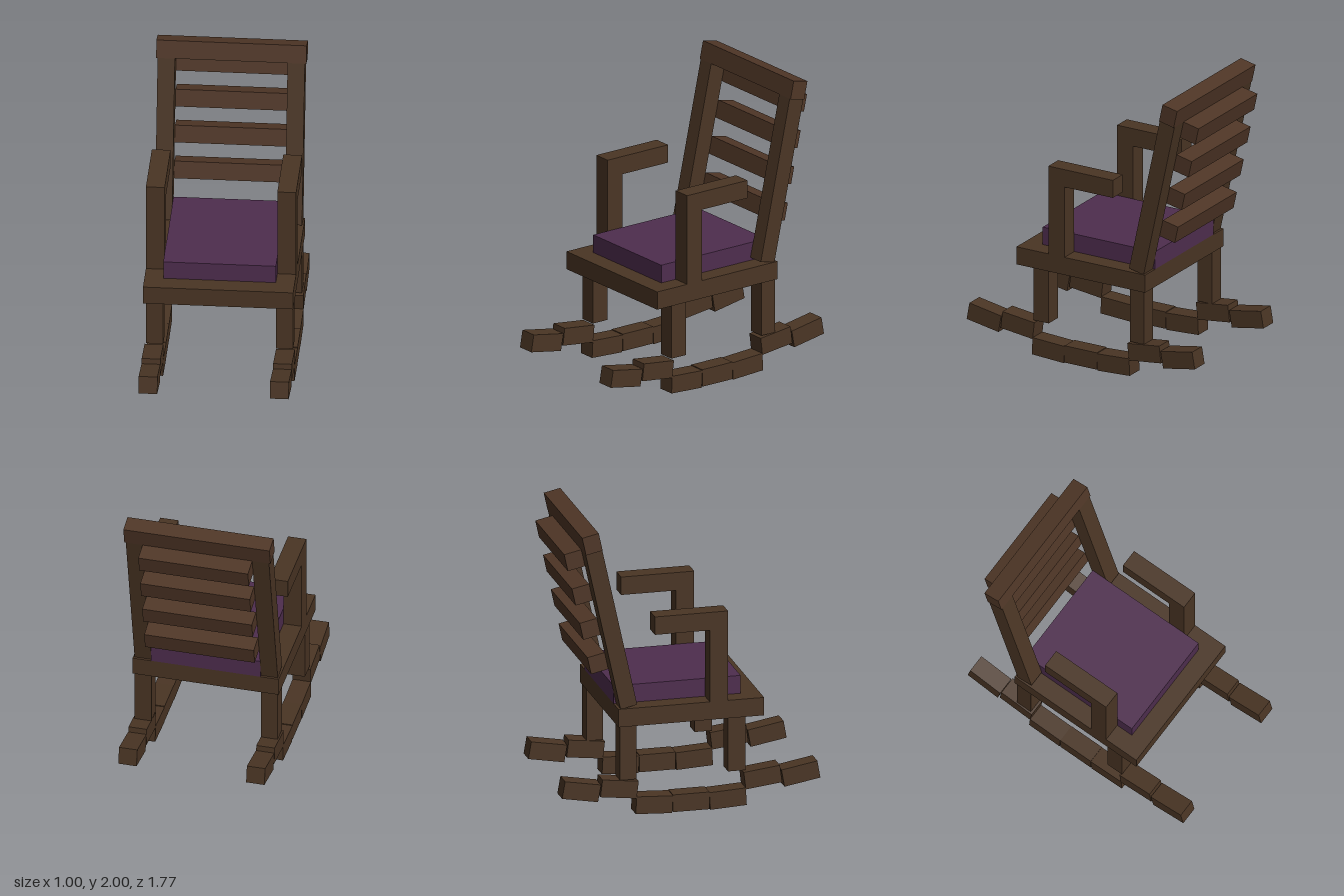
import * as THREE from 'three';

export function createModel() {
  const group = new THREE.Group();
  group.name = 'rockingChair';

  const material = (name, color) => {
    const m = new THREE.MeshStandardMaterial({ color });
    m.name = name;
    return m;
  };
  const frameWood = material('frame wood', 0x4a3524);
  const slatWood = material('slat wood', 0x4f3626);
  const fabric = material('purple fabric', 0x4e2d4e);

  // Box from its lower and upper limits on each axis
  const box = (name, mat, [x0, x1], [y0, y1], [z0, z1], parent = group) => {
    const mesh = new THREE.Mesh(new THREE.BoxGeometry(x1 - x0, y1 - y0, z1 - z0), mat);
    mesh.position.set((x0 + x1) / 2, (y0 + y1) / 2, (z0 + z1) / 2);
    mesh.name = name;
    parent.add(mesh);
    return mesh;
  };

  // Seat and cushion
  box('seat', frameWood, [-0.5, 0.5], [0.635, 0.76], [-0.5, 0.5]);
  box('cushion', fabric, [-0.375, 0.375], [0.76, 0.885], [-0.5, 0.372]);

  // Leaning back, hinged at the lower front edge of its posts
  const back = new THREE.Group();
  back.name = 'backrest';
  back.position.set(0, 0.78, -0.369);
  back.rotation.x = -THREE.MathUtils.degToRad(12.3);
  group.add(back);
  box('topRail', slatWood, [-0.5, 0.5], [1.125, 1.25], [-0.116, 0], back);
  for (let i = 0; i < 4; i++) {
    const y = 0.256 + i * 0.25;
    box('backSlat', slatWood, [-0.375, 0.375], [y, y + 0.12], [-0.236, -0.116], back);
  }

  // Rocker blocks: centre z, centre y, tilt in degrees
  const rockerBlocks = [[0, 0.071, 0], [0.253, 0.072, 3], [0.492, 0.202, 6.8], [0.753, 0.205, 10]];

  for (const side of [-1, 1]) {
    const span = (a, b) => (side > 0 ? [a, b] : [-b, -a]);
    const inner = span(0.375, 0.49);
    const outer = span(0.375, 0.5);

    box('backPost', frameWood, inner, [0, 1.125], [-0.116, 0], back);
    box('frontLeg', frameWood, inner, [0.26, 0.635], [0.255, 0.375]);
    box('backLeg', frameWood, inner, [0.26, 0.635], [-0.487, -0.375]);
    box('armPost', frameWood, outer, [0.76, 1.26], [0.127, 0.252]);
    box('armrest', frameWood, outer, [1.26, 1.385], [-0.25, 0.252]);

    // Curved rocker made of tilted blocks, mirrored front to back
    const rocker = new THREE.Group();
    rocker.name = 'rocker';
    group.add(rocker);
    for (const [z, y, tilt] of rockerBlocks) {
      for (const end of z === 0 ? [1] : [-1, 1]) {
        const block = box('rockerBlock', frameWood, outer,
          [y - 0.06, y + 0.06], [end * z - 0.125, end * z + 0.125], rocker);
        block.rotation.x = -end * THREE.MathUtils.degToRad(tilt);
      }
    }
  }
  return group;
}
